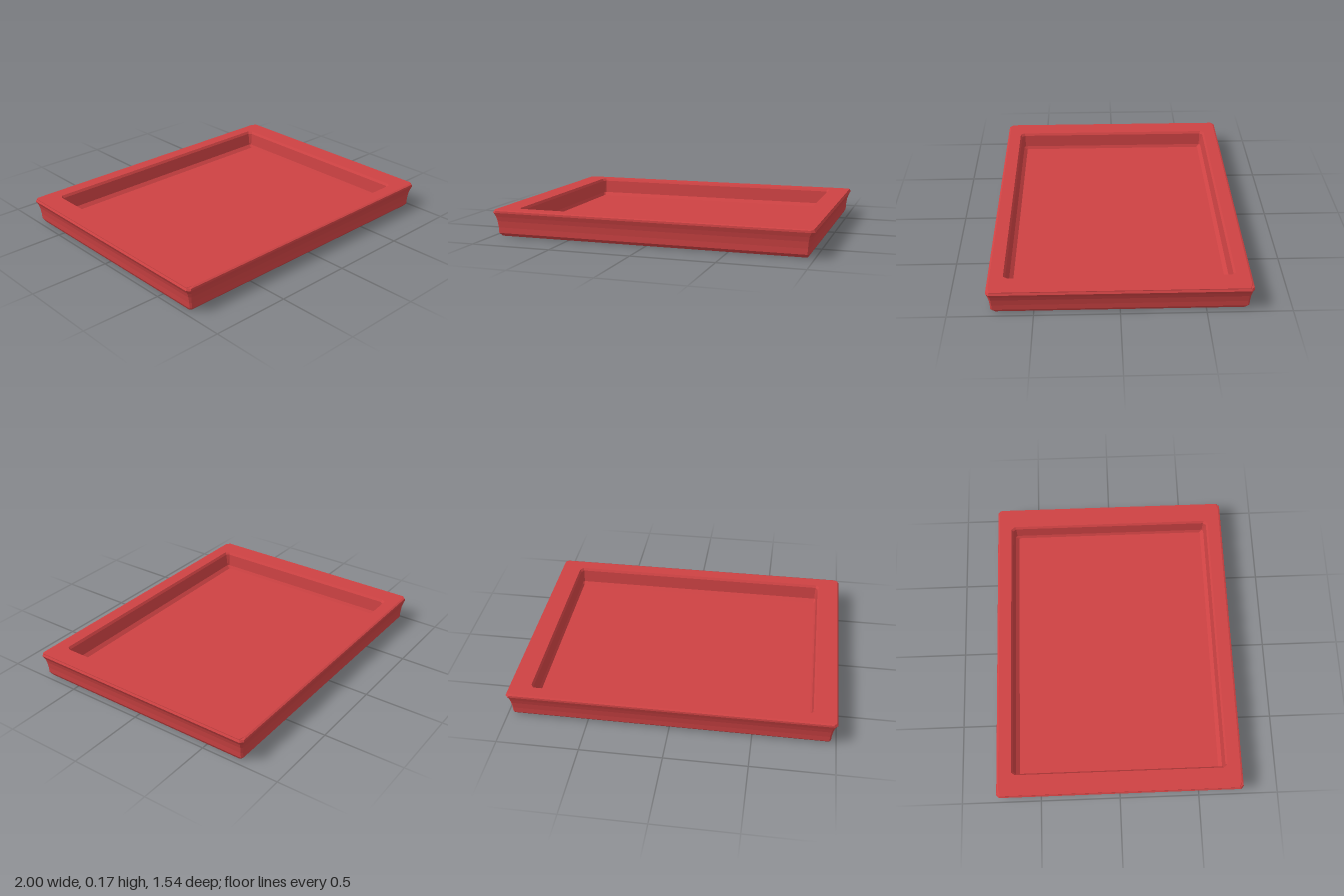
import * as THREE from 'three';

const red = new THREE.MeshStandardMaterial({ color: 0xcd4243 });
red.name = 'red';

// Rectangle with cut corners: half width, half depth, height, corner cut in x and z
function ring([w, d, y, cx, cz = cx]) {
  return [
    [w, d - cz], [w - cx, d], [-w + cx, d], [-w, d - cz],
    [-w, -d + cz], [-w + cx, -d], [w - cx, -d], [w, -d + cz],
  ].map(([x, z]) => [x, y, z]);
}

function facetedMesh(name, triangles) {
  const geometry = new THREE.BufferGeometry();
  geometry.setAttribute('position', new THREE.Float32BufferAttribute(triangles.flat(2), 3));
  geometry.computeVertexNormals();
  const mesh = new THREE.Mesh(geometry, red);
  mesh.name = name;
  return mesh;
}

// Skin joining successive rings
function loft(name, sections) {
  const rings = sections.map(ring);
  const triangles = [];
  for (let r = 0; r < rings.length - 1; r++) {
    const lower = rings[r], upper = rings[r + 1];
    for (let i = 0; i < lower.length; i++) {
      const j = (i + 1) % lower.length;
      triangles.push([lower[i], upper[i], lower[j]], [lower[j], upper[i], upper[j]]);
    }
  }
  return facetedMesh(name, triangles);
}

// Flat panel filling one ring
function panel(name, section, facesUp) {
  const points = ring(section);
  const centre = [0, section[2], 0];
  return facetedMesh(name, points.map((p, i) => {
    const q = points[(i + 1) % points.length];
    return facesUp ? [centre, q, p] : [centre, p, q];
  }));
}

export function createModel() {
  const tray = new THREE.Group();
  tray.name = 'tray';

  const base = [0.957, 0.732, 0, 0.01];
  const rimOuter = [0.992, 0.755, 0.165, 0.045, 0.012];
  const rimInner = [0.863, 0.676, 0.165, 0.018, 0.025];
  const floor = [0.838, 0.632, 0.045, 0.006];

  tray.add(
    panel('underside', base, false),
    // Bevelled foot, concave flare and lip
    loft('outerWall', [
      base,
      [0.968, 0.75, 0.02, 0.01],
      [0.97, 0.75, 0.055, 0.01],
      [0.976, 0.754, 0.095, 0.012],
      [0.984, 0.76, 0.122, 0.015],
      [0.999, 0.768, 0.148, 0.018],
      [0.992, 0.766, 0.16, 0.018],
      rimOuter,
    ]),
    loft('rim', [rimOuter, rimInner]),
    // Recess sides with softened top and bottom edges
    loft('recessWall', [
      rimInner,
      [0.853, 0.665, 0.15, 0.015, 0.02],
      [0.847, 0.654, 0.065, 0.01],
      floor,
    ]),
    panel('recessFloor', floor, true),
  );
  return tray;
}
